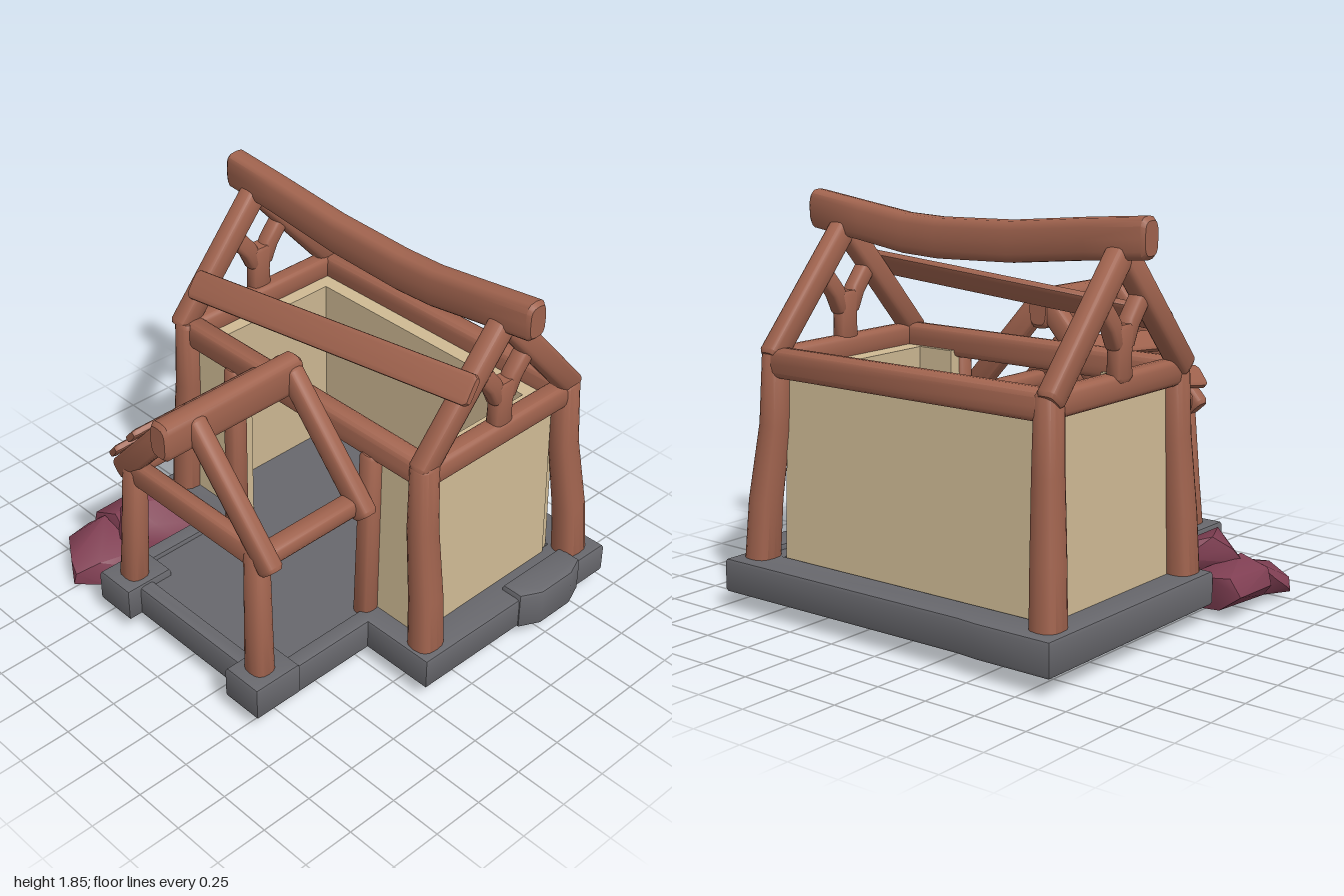
import * as THREE from 'three';
import { toCreasedNormals } from 'three/addons/utils/BufferGeometryUtils.js';
import { ConvexGeometry } from 'three/addons/geometries/ConvexGeometry.js';

const mat = (name, color) => {
  const m = new THREE.MeshStandardMaterial({ color });
  m.name = name;
  return m;
};
const V = (p) => new THREE.Vector3(...p);

// Timber: rounded-rectangle section swept along path points, with bevelled ends.
// Each path point is [x, y, z, optional scale].
function timber(path, w, h, upHint = [0, 1, 0], power = 0.6, bevel = 0.018) {
  const sides = 16, pts = path.map((p) => V(p.slice(0, 3)));
  const scale = path.map((p) => p[3] ?? 1), n = pts.length;
  const dir = pts[n - 1].clone().sub(pts[0]).normalize();
  const side = V(upHint).cross(dir).normalize();
  const up = dir.clone().cross(side);
  const rings = [[pts[0], scale[0] * 0.8]];
  pts.forEach((p, i) => {
    const c = p.clone();
    if (i === 0) c.addScaledVector(dir, bevel);
    if (i === n - 1) c.addScaledVector(dir, -bevel);
    rings.push([c, scale[i]]);
  });
  rings.push([pts[n - 1], scale[n - 1] * 0.8]);
  const pos = [], idx = [];
  const round = (v) => Math.sign(v) * Math.abs(v) ** power;
  for (const [c, s] of rings) {
    for (let j = 0; j < sides; j++) {
      const a = (j / sides) * Math.PI * 2;
      const p = c.clone()
        .addScaledVector(side, (round(Math.cos(a)) * w * s) / 2)
        .addScaledVector(up, (round(Math.sin(a)) * h * s) / 2);
      pos.push(p.x, p.y, p.z);
    }
  }
  const first = rings.length * sides, last = (rings.length - 1) * sides;
  pos.push(...pts[0].toArray(), ...pts[n - 1].toArray());
  for (let j = 0; j < sides; j++) {
    const k = (j + 1) % sides;
    for (let i = 0; i < rings.length - 1; i++) {
      const a = i * sides + j, b = i * sides + k;
      idx.push(a, b, a + sides, b, b + sides, a + sides);
    }
    idx.push(first, k, j, first + 1, last + j, last + k);
  }
  const g = new THREE.BufferGeometry();
  g.setAttribute('position', new THREE.Float32BufferAttribute(pos, 3));
  g.setIndex(idx);
  return toCreasedNormals(g, 0.7);
}

export function createModel() {
  const root = new THREE.Group();
  root.name = 'timberFrameHouse';
  const wood = mat('wood', 0xa0634e);
  const plaster = mat('plaster', 0xcfba94);
  const stone = mat('stone', 0x68686d);
  const cloth = mat('cloth', 0x803f53);
  const add = (name, geo, material) => {
    const m = new THREE.Mesh(geo, material);
    m.name = name;
    root.add(m);
    return m;
  };
  const beam = (name, ...args) => add(name, timber(...args), wood);
  const box = (name, x1, x2, y1, y2, z1, z2, m) =>
    add(name, new THREE.BoxGeometry(x2 - x1, y2 - y1, z2 - z1)
      .translate((x1 + x2) / 2, (y1 + y2) / 2, (z1 + z2) / 2), m);

  // Stone footing: T-shaped ring with worn bumps
  const toPts = (a) => a.map(([x, z]) => new THREE.Vector2(x, -z));
  const b = 0.018;
  const extrude = (outline, hole, y1, y2) => {
    const shape = new THREE.Shape(toPts(outline));
    if (hole) shape.holes.push(new THREE.Path(toPts(hole)));
    const g = new THREE.ExtrudeGeometry(shape, {
      depth: y2 - y1 - 2 * b, bevelThickness: b, bevelSize: b, bevelOffset: -b, bevelSegments: 2,
    });
    return toCreasedNormals(g.rotateX(-Math.PI / 2).translate(0, y1 + b, 0), 0.6);
  };
  add('footing', extrude(
    [[-0.88, 0.24], [-0.51, 0.24], [-0.51, 0.84], [0.575, 0.84], [0.575, 0.24], [0.94, 0.24],
      [0.95, -0.95], [-0.4, -0.94], [-0.5, -0.95], [-0.88, -0.95]],
    [[-0.73, 0.06], [-0.43, 0.06], [-0.43, 0.76], [0.49, 0.76], [0.49, 0.06], [0.76, 0.06],
      [0.76, -0.76], [-0.73, -0.76]], 0.08, 0.24), stone);
  add('sideStone', extrude(
    [[0.84, -0.36], [0.95, -0.36], [1, -0.46], [1, -0.66], [0.96, -0.76], [0.84, -0.76]],
    null, 0.075, 0.268), stone);
  for (const [x1, x2] of [[-0.51, -0.3], [0.375, 0.58]])
    add('porchCornerStone', extrude([[x1, 0.66], [x1, 0.91], [x2, 0.91], [x2, 0.66]], null, 0.085, 0.255), stone);
  box('mainFloor', -0.74, 0.77, 0.2, 0.215, -0.77, 0.07, stone);
  box('porchFloor', -0.44, 0.5, 0.2, 0.215, 0.07, 0.77, stone);

  // Plaster walls, spreading slightly toward the foot
  const wall = (name, x1, x2, z1, z2, leanX, leanZ) => {
    const m = box(name, x1, x2, 0.11, 1.1, z1, z2, plaster), p = m.geometry.attributes.position;
    for (let i = 0; i < p.count; i++) {
      if (p.getY(i) < 0.5) p.setXYZ(i, p.getX(i) + leanX, p.getY(i), p.getZ(i) + leanZ);
    }
    m.geometry.computeVertexNormals();
  };
  wall('backWall', -0.7, 0.75, -0.73, -0.63, 0, -0.04);
  wall('rightWall', -0.72, -0.62, -0.7, 0.12, -0.03, 0);
  wall('leftWall', 0.65, 0.76, -0.7, 0.12, 0.03, 0);
  wall('frontWallRight', -0.71, -0.4, 0.05, 0.13, 0, 0.01);
  wall('frontWallLeft', 0.46, 0.76, 0.05, 0.13, 0, 0.01);

  // Main corner posts
  for (const [xb, xt] of [[-0.785, -0.73], [0.85, 0.785]])
    for (const [zb, zt] of [[0.15, 0.14], [-0.83, -0.755]])
      beam('cornerPost', [[xb, 0.075, zb, 1.15], [xb * 0.975, 0.5, zb * 0.97, 1.08],
        [xt * 1.01, 0.85, zt * 1.02, 0.98], [xt, 1.19, zt, 0.9]], 0.125, 0.135, [0, 0, 1], 0.75);

  // Wall plates
  beam('frontPlate', [[-0.72, 1.13, 0.125], [0.78, 1.13, 0.125]], 0.11, 0.135);
  beam('backPlate', [[-0.72, 1.13, -0.76], [0.78, 1.13, -0.76]], 0.115, 0.135);
  for (const x of [-0.735, 0.785])
    beam('sidePlate', [[x, 1.135, 0.14], [x, 1.135, -0.76]], 0.1, 0.12);

  // Gable ends: rafters and forked king posts
  for (const x of [-0.755, 0.785]) {
    beam('frontRafter', [[x, 1.15, 0.165], [x, 1.69, -0.3]], 0.1, 0.115);
    beam('backRafter', [[x, 1.15, -0.79], [x, 1.69, -0.315]], 0.1, 0.115);
    beam('kingPost', [[x, 1.16, -0.315], [x, 1.27, -0.315, 0.95], [x, 1.4, -0.315, 1.1]], 0.08, 0.115, [0, 0, 1]);
    for (const s of [-1, 1])
      beam('kingPostFork', [[x, 1.31, -0.315 + s * 0.02], [x, 1.4, -0.315 + s * 0.065], [x, 1.53, -0.315 + s * 0.17]],
        0.078, 0.085);
  }

  // Sagging ridge and the loose batten on the front slope
  beam('mainRidge', [[-0.9, 1.757, -0.307], [-0.6, 1.735, -0.307], [-0.2, 1.695, -0.307, 1.02],
    [0.2, 1.682, -0.307, 1.03], [0.4, 1.69, -0.307, 1.02], [0.65, 1.725, -0.307], [0.96, 1.765, -0.307]], 0.115, 0.18);
  beam('roofBatten', [[-0.75, 1.355, 0.085], [0.87, 1.505, -0.04]], 0.14, 0.04, [0, 0.65, 0.76], 0.4);

  // Door posts
  for (const x of [-0.4, 0.485])
    beam('doorPost', [[x, 0.08, 0.17, 1.1], [x, 1.09, 0.15]], 0.095, 0.09, [0, 0, 1], 0.75);

  // Porch frame
  for (const [xb, xt] of [[-0.405, -0.36], [0.48, 0.445]])
    beam('porchPost', [[xb, 0.075, 0.805, 1.1], [(xb + xt) / 2, 0.45, 0.79], [xt, 0.88, 0.775, 0.9]],
      0.12, 0.11, [0, 0, 1], 0.75);
  beam('porchCrossBeam', [[-0.37, 0.855, 0.775], [0.47, 0.855, 0.775]], 0.085, 0.125);
  for (const x of [-0.39, 0.475])
    beam('porchSideBeam', [[x, 0.86, 0.16], [x, 0.86, 0.76]], 0.1, 0.09);
  for (const z of [0.235, 0.778])
    for (const s of [-1, 1])
      beam('porchRafter', [[0.05 + s * 0.495, 0.82, z], [0.05 + s * 0.015, 1.35, z]], 0.088, 0.115);
  beam('porchRidge', [[0.053, 1.32, 0.185], [0.053, 1.312, 0.955]], 0.115, 0.185);
  beam('porchBattenLow', [[-0.335, 1.05, 0.19], [-0.415, 0.96, 0.85]], 0.12, 0.035, [-0.74, 0.67, 0], 0.4);
  beam('porchBattenHigh', [[-0.22, 1.175, 0.19], [-0.265, 1.125, 0.86]], 0.11, 0.035, [-0.74, 0.67, 0], 0.4);

  // Pile of lumpy sacks beside the porch
  const sack = (pts) => add('sack', toCreasedNormals(new ConvexGeometry(pts.map(V)), 0.75), cloth);
  sack([[-0.86, 0.2, 0.54], [-0.83, 0.27, 0.49], [-0.77, 0.335, 0.41], [-0.71, 0.34, 0.55], [-0.66, 0.2, 0.66],
    [-0.64, 0.3, 0.3], [-0.7, 0.25, 0.27], [-0.54, 0.2, 0.31], [-0.52, 0.12, 0.38], [-0.56, 0.08, 0.48],
    [-0.6, 0.25, 0.5], [-0.6, 0.09, 0.55], [-0.7, 0.15, 0.35], [-0.75, 0.15, 0.62], [-0.62, 0.09, 0.38]]);
  sack([[-0.99, 0.12, 0.3], [-0.94, 0.2, 0.29], [-0.86, 0.2, 0.25], [-0.74, 0.19, 0.27], [-0.68, 0.12, 0.36],
    [-0.7, 0.16, 0.6], [-0.82, 0.23, 0.58], [-0.95, 0.18, 0.6], [-0.97, 0.1, 0.6], [-0.88, 0.04, 0.3],
    [-0.72, 0.03, 0.3], [-0.72, 0.04, 0.58], [-0.92, 0.04, 0.62]]);
  sack([[-1, 0.07, 0.7], [-0.97, 0.12, 0.64], [-0.88, 0.2, 0.6], [-0.78, 0.18, 0.63], [-0.63, 0.13, 0.6],
    [-0.6, 0.08, 0.66], [-0.68, 0.13, 0.79], [-0.74, 0.08, 0.89], [-0.8, 0.12, 0.87], [-0.97, 0.1, 0.76],
    [-0.99, 0.04, 0.74], [-0.75, 0.02, 0.9], [-0.66, 0, 0.78], [-0.64, 0.01, 0.64], [-0.9, 0.03, 0.64]]);

  return root;
}
